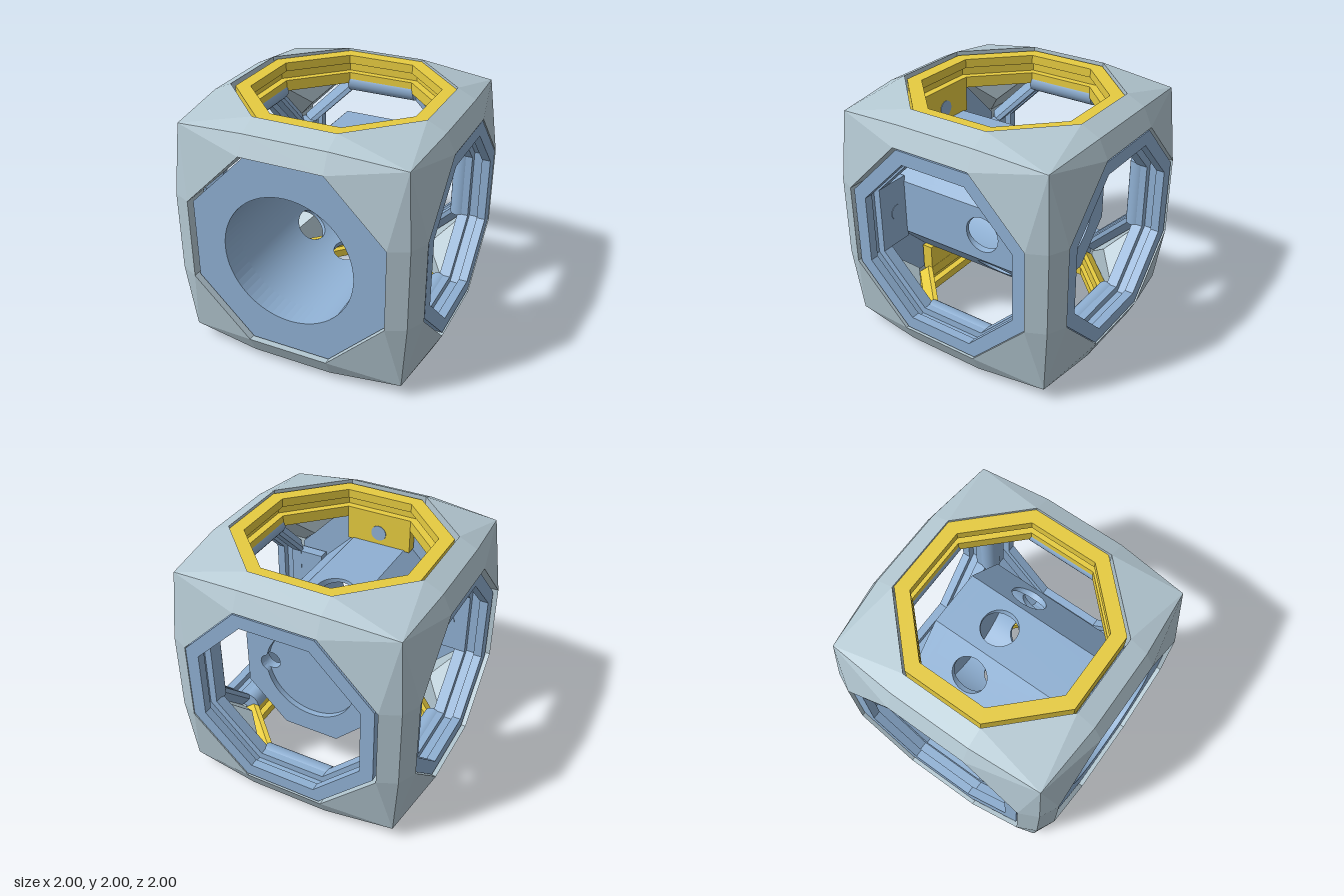
import * as THREE from 'three';
import { ParametricGeometry } from 'three/addons/geometries/ParametricGeometry.js';

const BLUE = new THREE.MeshStandardMaterial({ color: 0x8fb0d3, side: THREE.DoubleSide });
const YELLOW = new THREE.MeshStandardMaterial({ color: 0xe6cb40, side: THREE.DoubleSide });
const SHELL = new THREE.MeshStandardMaterial({ color: 0xb4c8d2, side: THREE.DoubleSide });
const TAN = Math.tan(Math.PI / 8), COS = Math.cos(Math.PI / 8);

function add(parent, name, geometry, material, x = 0, y = 0, z = 0) {
  const mesh = new THREE.Mesh(geometry, material);
  mesh.name = name;
  mesh.position.set(x, y, z);
  parent.add(mesh);
  return mesh;
}

function flat(geometry) {
  const g = geometry.index ? geometry.toNonIndexed() : geometry;
  g.computeVertexNormals();
  return g;
}

// Octagon with flat sides on the axes, given its half width
function octagon(half) {
  const pts = [];
  for (let i = 0; i < 8; i++) {
    const a = Math.PI / 8 + i * Math.PI / 4;
    pts.push(new THREE.Vector2(Math.cos(a), Math.sin(a)).multiplyScalar(half / COS));
  }
  return new THREE.Shape(pts);
}

function circle(x, r) {
  return new THREE.Path().absarc(x, 0, r, 0, Math.PI * 2, true);
}

// Octagonal slab between two z values, with holes
function slab(half, z0, z1, holes) {
  const shape = octagon(half);
  shape.holes.push(...holes);
  const g = new THREE.ExtrudeGeometry(shape, { depth: z1 - z0, bevelEnabled: false, curveSegments: 32 });
  return g.translate(0, 0, z0);
}

// Faceted outer frame: one quarter of a face, repeated over the six faces
function shellGeometry() {
  const a = 0.785, b = 0.325, e = 0.93, c = 0.885, m = (a + b) / 2;
  const P = [a, b, 1], Q = [a, -b, 1], R = [b, a, 1], E = [e, b, e], F = [e, -b, e];
  const C = [c, c, c], G = [b, e, e], M = [m, m, m];
  const Pi = [a, b, a], Qi = [a, -b, a], Ri = [b, a, a];
  const polygons = [
    [Q, F, E, P], [P, E, C], [C, G, R], [P, C, R], // outside
    [P, Pi, Qi, Q], [P, R, Ri, M, Pi],             // walls of the opening
  ];
  const faces = [[0, 0], [0, 1], [0, 2], [0, 3], [1, 0], [-1, 0]];
  const pos = [];
  for (const [rx, ry] of faces) {
    for (let k = 0; k < 4; k++) {
      const turn = new THREE.Matrix4()
        .makeRotationFromEuler(new THREE.Euler(rx * Math.PI / 2, ry * Math.PI / 2, 0))
        .multiply(new THREE.Matrix4().makeRotationZ(k * Math.PI / 2));
      for (const poly of polygons) {
        const v = poly.map((p) => new THREE.Vector3(...p).applyMatrix4(turn));
        for (let i = 1; i < v.length - 1; i++) {
          for (const p of [v[0], v[i], v[i + 1]]) pos.push(p.x, p.y, p.z);
        }
      }
    }
  }
  const g = new THREE.BufferGeometry();
  g.setAttribute('position', new THREE.Float32BufferAttribute(pos, 3));
  g.computeVertexNormals();
  return g;
}

// Octagonal ring around y with a groove on its inner side
function ringGeometry() {
  const profile = [
    [0.7, 0.74], [0.77, 0.8], [0.77, 0.98], [0.663, 0.98], [0.663, 0.91],
    [0.72, 0.91], [0.72, 0.83], [0.663, 0.83], [0.663, 0.74], [0.7, 0.74],
  ].map(([r, y]) => new THREE.Vector2(r / COS, y));
  return flat(new THREE.LatheGeometry(profile, 8, Math.PI / 8));
}

// Housing wall: an eighth of the barrel with a round side hole.
const HALF = 0.55, BORE = 0.52, BACK = -0.4, FRONT = 0.78, HOLE_Z = -0.09, HOLE_R = 0.147;
const outerPoint = (t, z, out) => out.set(HALF, t, z);
const borePoint = (t, z, out) => {
  const a = Math.atan(t / HALF);
  return out.set(BORE * Math.cos(a), BORE * Math.sin(a), z);
};
function holeEdge(u) {
  const a = Math.PI / 4 + u * Math.PI * 2;
  return [HOLE_R * Math.cos(a), HOLE_Z + HOLE_R * Math.sin(a)];
}
function panelEdge(u) {
  const w = HALF * TAN;
  const corners = [[w, FRONT], [-w, FRONT], [-w, BACK], [w, BACK], [w, FRONT]];
  const s = Math.min(3, Math.floor(u * 4)), f = u * 4 - s;
  return [0, 1].map((i) => THREE.MathUtils.lerp(corners[s][i], corners[s + 1][i], f));
}
function piercedPanel(place) {
  return new ParametricGeometry((u, v, out) => {
    const h = holeEdge(u), p = panelEdge(u);
    place(THREE.MathUtils.lerp(h[0], p[0], v), THREE.MathUtils.lerp(h[1], p[1], v), out);
  }, 48, 6);
}
function holeWall() {
  const q = new THREE.Vector3();
  return new ParametricGeometry((u, v, out) => {
    const h = holeEdge(u);
    outerPoint(h[0], h[1], out).lerp(borePoint(h[0], h[1], q), v);
  }, 48, 1);
}

// Round recess widened where the two small holes cross its rim
function recessPath(R, d, r) {
  const pts = [];
  for (let i = 0; i < 144; i++) {
    const a = -i * Math.PI / 72, s = d * Math.sin(a);
    const reach = Math.abs(s) < r ? d * Math.abs(Math.cos(a)) + Math.sqrt(r * r - s * s) : 0;
    const rad = Math.max(R, reach);
    pts.push(new THREE.Vector2(rad * Math.cos(a), rad * Math.sin(a)));
  }
  return new THREE.Path(pts);
}

function buildHousing() {
  const housing = new THREE.Group();
  housing.name = 'housing';
  add(housing, 'frontPlate', slab(0.77, 0.77, 0.98, [circle(0, BORE)]), BLUE);
  const panel = piercedPanel(outerPoint), bore = piercedPanel(borePoint), wall = holeWall();
  for (let k = 0; k < 8; k++) {
    const side = new THREE.Group();
    side.name = 'barrelSide';
    side.rotation.z = k * Math.PI / 4;
    add(side, 'outerPanel', panel, BLUE);
    add(side, 'boreWall', bore, BLUE);
    add(side, 'sideHoleWall', wall, BLUE);
    housing.add(side);
  }
  const pinHoles = [circle(-0.358, 0.073), circle(0.358, 0.073)];
  add(housing, 'backWall', slab(HALF, -0.47, BACK, pinHoles), BLUE);
  add(housing, 'backRim', slab(HALF, -0.515, -0.47, [recessPath(0.38, 0.358, 0.073)]), BLUE);
  return housing;
}

export function createModel() {
  const model = new THREE.Group();
  model.name = 'framedCube';
  add(model, 'outerFrame', shellGeometry(), SHELL, 0, 1, 0);

  // Inner parts sit slightly off centre in the frame
  const inner = new THREE.Group();
  inner.name = 'innerParts';
  inner.position.set(0.012, 1, -0.015);
  model.add(inner);
  inner.add(buildHousing());

  const ring = ringGeometry();
  add(inner, 'backRing', ring, BLUE).rotation.x = -Math.PI / 2;

  const rod = new THREE.CylinderGeometry(0.085, 0.085, 0.58, 24);
  const tabShape = new THREE.BoxGeometry(0.55, 0.23, 0.09);
  const boltShape = new THREE.CylinderGeometry(0.065, 0.065, 0.1, 24).rotateX(Math.PI / 2);
  // Top, right, bottom and left, each with a bolted tab and joining rods
  for (let k = 0; k < 4; k++) {
    const side = new THREE.Group();
    side.name = ['top', 'right', 'bottom', 'left'][k] + 'Side';
    side.rotation.z = k * Math.PI / 2;
    const material = k % 2 ? BLUE : YELLOW;
    add(side, 'ring', ring, material);
    add(side, 'tab', tabShape, material, 0, 0.655, 0.71);
    add(side, 'bolt', boltShape, BLUE, 0, 0.65, 0.71);
    add(side, 'edgeRod', rod, BLUE, 0.74, 0.74, 0).rotation.x = Math.PI / 2;
    add(side, 'backRod', rod, BLUE, 0, 0.74, -0.74).rotation.z = Math.PI / 2;
    inner.add(side);
  }
  return model;
}
